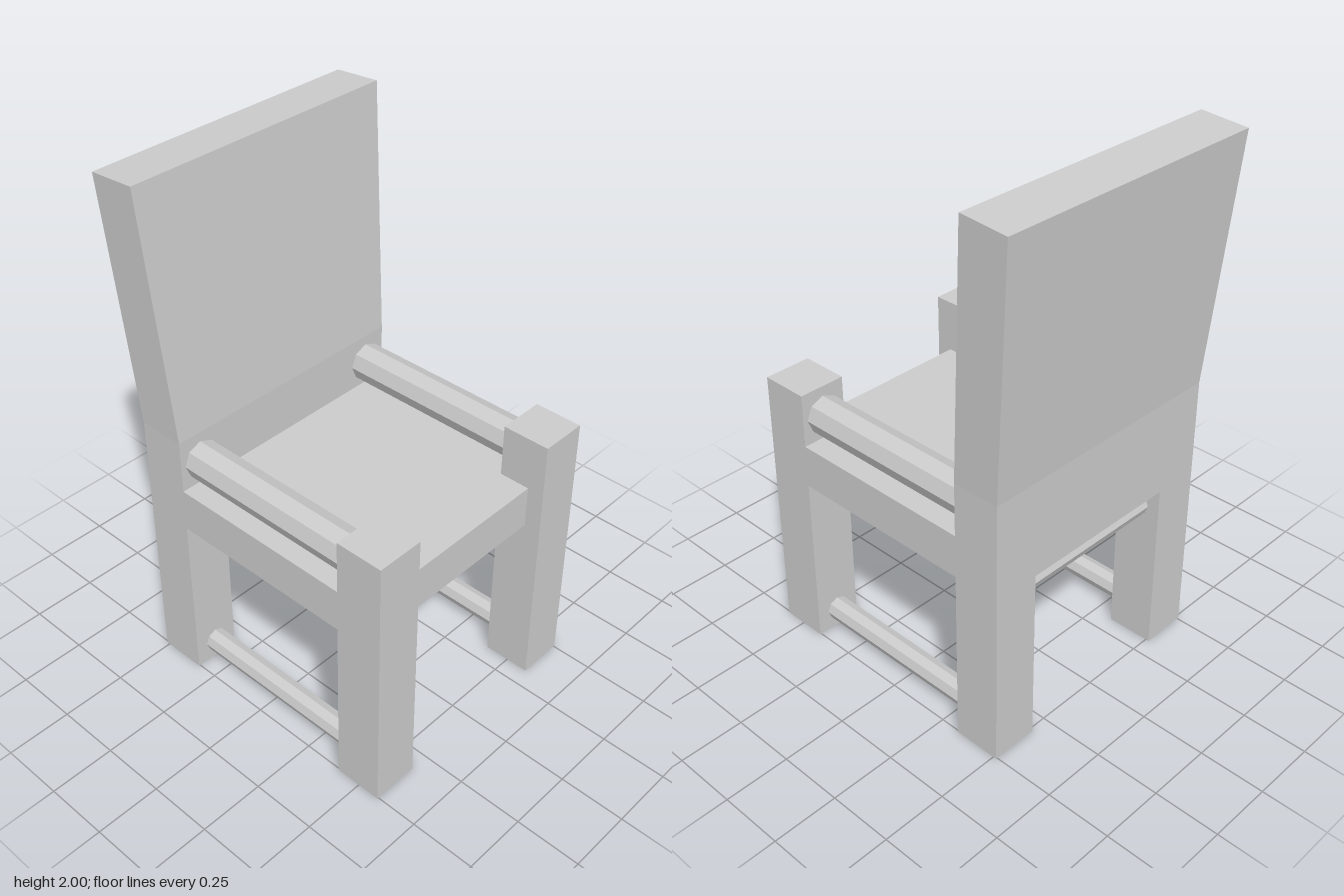
import * as THREE from 'three';

const material = new THREE.MeshStandardMaterial({ color: 0xcccccc, flatShading: true });

const W = 0.505;        // half width of the frame
const INNER = 0.323;    // inner face of the legs
const ARM_Y = 1.055;    // top of the front legs, start of the back's tilt
const SEAT_LOW = 0.685, SEAT_TOP = 0.85;
const BACK_FRONT = -0.33, BACK_REAR = -0.513;
const LEG_BACK = 0.403, LEG_FRONT = 0.587;
const RAIL_X = (W + INNER) / 2;

export function createModel() {
  const chair = new THREE.Group();
  chair.name = 'armchair';

  const add = (name, geometry) => {
    const mesh = new THREE.Mesh(geometry, material);
    mesh.name = name;
    chair.add(mesh);
    return mesh;
  };

  // Box given by its two extreme corners
  const block = (name, [x0, y0, z0], [x1, y1, z1]) =>
    add(name, new THREE.BoxGeometry(x1 - x0, y1 - y0, z1 - z0)
      .translate((x0 + x1) / 2, (y0 + y1) / 2, (z0 + z1) / 2));

  // Eight-sided rail, lying along z or along x, with a corner pointing up
  const rail = (name, radius, length, [x, y, z], alongX = false) => {
    const geometry = new THREE.CylinderGeometry(radius, radius, length, 8);
    if (alongX) geometry.rotateZ(Math.PI / 2);
    else geometry.rotateX(Math.PI / 2);
    add(name, geometry).position.set(x, y, z);
  };

  // Seat: full width between the legs, with a tongue between the front legs
  const seat = new THREE.Shape([
    [-W, BACK_FRONT], [W, BACK_FRONT], [W, LEG_BACK], [INNER, LEG_BACK],
    [INNER, 0.523], [-INNER, 0.523], [-INNER, LEG_BACK], [-W, LEG_BACK],
  ].map(([x, z]) => new THREE.Vector2(x, -z)));
  add('seat', new THREE.ExtrudeGeometry(seat, { depth: SEAT_TOP - SEAT_LOW, bevelEnabled: false })
    .rotateX(-Math.PI / 2).translate(0, SEAT_LOW, 0));

  // Lower back and rear legs in one slab, notched between the legs
  const lower = new THREE.Shape([
    [-W, 0], [-INNER, 0], [-INNER, SEAT_LOW], [INNER, SEAT_LOW],
    [INNER, 0], [W, 0], [W, ARM_Y], [-W, ARM_Y],
  ].map(([x, y]) => new THREE.Vector2(x, y)));
  add('lowerBackAndRearLegs', new THREE.ExtrudeGeometry(lower, { depth: BACK_FRONT - BACK_REAR, bevelEnabled: false })
    .translate(0, 0, BACK_REAR));

  // Upper back: leans rearward and widens towards the top
  const upper = new THREE.BoxGeometry(2, 2, 2);
  const p = upper.attributes.position;
  for (let i = 0; i < p.count; i++) {
    const top = p.getY(i) > 0, front = p.getZ(i) > 0;
    p.setXYZ(i,
      p.getX(i) * (top ? 0.543 : W),
      top ? (front ? 2 : 1.987) : ARM_Y,
      (front ? BACK_FRONT : BACK_REAR) - (top ? 0.073 : 0));
  }
  upper.computeVertexNormals();
  add('upperBack', upper);

  // Front legs, armrests and low side rails
  const span = LEG_BACK - BACK_FRONT;
  const midZ = (LEG_BACK + BACK_FRONT) / 2;
  for (const [side, s] of [['left', 1], ['right', -1]]) {
    const [x0, x1] = s > 0 ? [INNER, W] : [-W, -INNER];
    block(side + 'FrontLeg', [x0, 0, LEG_BACK], [x1, ARM_Y, LEG_FRONT]);
    rail(side + 'Armrest', 0.072, span, [s * RAIL_X, 0.946, midZ]);
    rail(side + 'LowerRail', 0.045, span, [s * RAIL_X, 0.08, midZ]);
  }

  // Rail between the rear legs
  rail('rearRail', 0.045, 2 * INNER, [0, 0.597, (BACK_FRONT + BACK_REAR) / 2], true);

  return chair;
}
